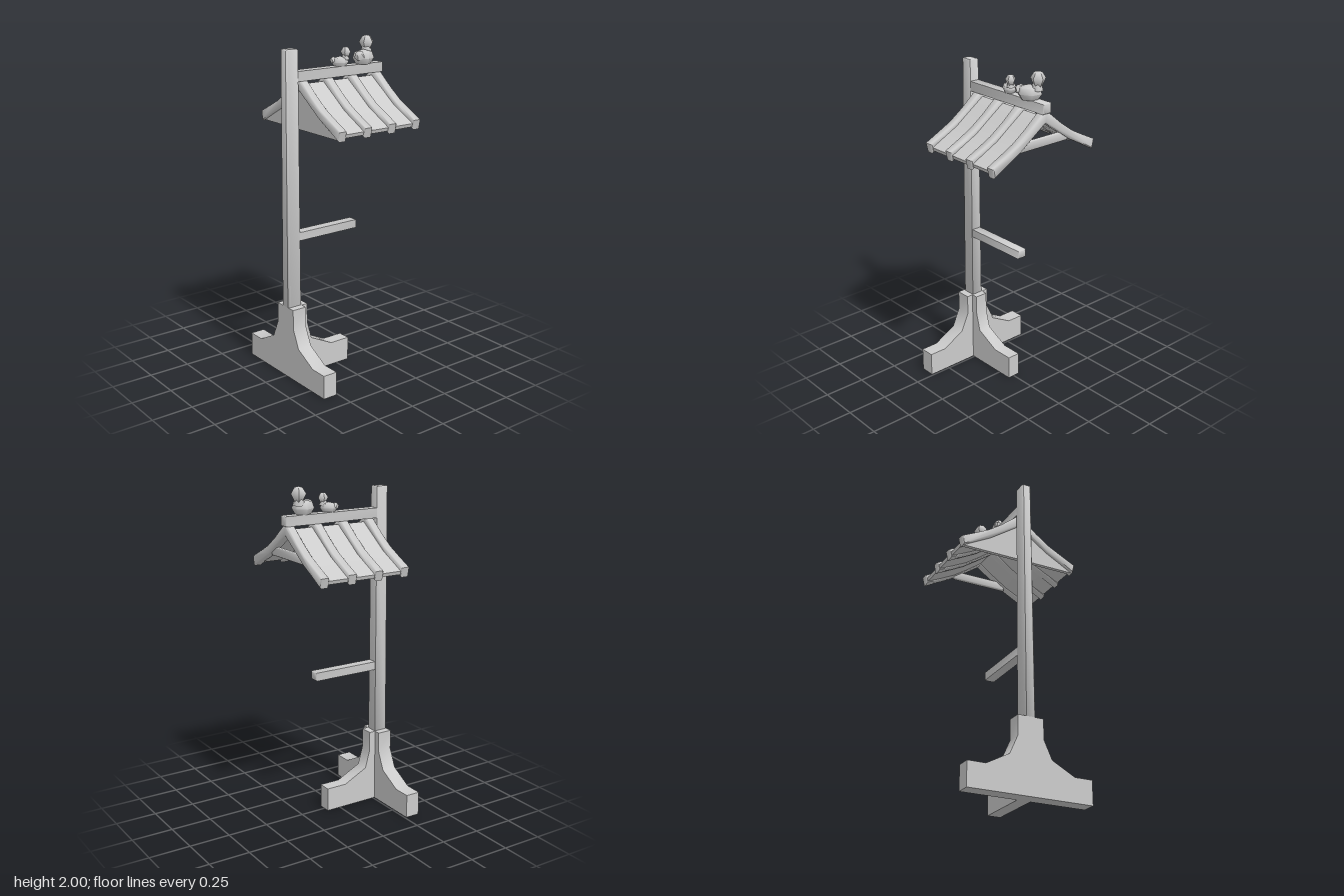
import * as THREE from 'three';
import { toCreasedNormals } from 'three/addons/utils/BufferGeometryUtils.js';

export function createModel() {
  const model = new THREE.Group();
  const mat = new THREE.MeshStandardMaterial({ color: 0xcccccc, side: THREE.DoubleSide });

  const add = (name, geo, parent = model, crease = 0.85) => {
    const mesh = new THREE.Mesh(toCreasedNormals(geo, crease), mat);
    mesh.name = name;
    parent.add(mesh);
    return mesh;
  };
  // Extrude a closed outline from z0 to z1 with an optional small bevel
  const slab = (pts, z0, z1, bevel = 0) => {
    const shape = new THREE.Shape(pts.map(([x, y]) => new THREE.Vector2(x, y)));
    return new THREE.ExtrudeGeometry(shape, {
      depth: z1 - z0 - 2 * bevel, bevelEnabled: bevel > 0, bevelSize: bevel,
      bevelThickness: bevel, bevelOffset: -bevel, bevelSegments: 1, curveSegments: 1,
    }).translate(0, 0, z0 + bevel);
  };
  const mirrored = (half) => [...half, ...half.slice().reverse().map(([x, y]) => [-x, y])];
  const box = (x0, x1, y0, y1, z0, z1) =>
    slab([[x0, y0], [x1, y0], [x1, y1], [x0, y1]], z0, z1, 0.004);

  // Base: wide front foot and one foot reaching back
  add('frontFoot', slab(mirrored([
    [0.38, 0], [0.38, 0.145], [0.27, 0.145], [0.13, 0.22], [0.08, 0.33], [0.08, 0.45],
  ]), 0.26, 0.35));
  const back = slab([
    [-0.3, 0], [0.09, 0], [0.09, 0.145], [-0.04, 0.145], [-0.19, 0.22], [-0.22, 0.33],
    [-0.22, 0.45], [-0.3, 0.45],
  ], -0.04, 0.04).rotateY(Math.PI / 2);
  add('backFoot', back);

  // Post: narrows slightly towards the top
  const post = slab(mirrored([[0.026, -0.35], [0.035, -0.338], [0.035, -0.262]]), 0, 1.56, 0.006)
    .rotateX(-Math.PI / 2).translate(0, 0.405, 0);
  const p = post.attributes.position;
  for (let i = 0; i < p.count; i++) {
    const t = (p.getY(i) - 0.405) / 1.56;
    p.setX(i, p.getX(i) * (1 - 0.15 * t));
    p.setZ(i, 0.262 + (p.getZ(i) - 0.262) * (1 - 0.12 * t));
  }
  post.computeVertexNormals();
  add('post', post);

  // Crossbars
  add('lowerArm', box(-0.03, 0.03, 0.85, 0.9, -0.16, 0.27));
  add('ridgeBeam', box(-0.03, 0.03, 1.782, 1.84, -0.352, 0.27));

  // Roof: bent sheet, four ribs, closed front gable and a tie at the open back
  const roof = new THREE.Group();
  roof.name = 'roof';
  model.add(roof);
  const chevron = (top, bottom) => [
    ...top, ...top.slice(0, -1).reverse().map(([x, y]) => [-x, y]),
    ...bottom.map(([x, y]) => [-x, y]), ...bottom.slice(0, -1).reverse(),
  ];
  add('roofSheet', slab(chevron(
    [[0.371, 1.533], [0.29, 1.575], [0.197, 1.622], [0.11, 1.685], [0, 1.762]],
    [[0.364, 1.512], [0.28, 1.553], [0.19, 1.6], [0.1, 1.662], [0, 1.735]],
  ), -0.335, 0.235), roof);
  const rib = chevron(
    [[0.383, 1.553], [0.29, 1.599], [0.205, 1.643], [0.12, 1.703], [0.02, 1.785], [0, 1.79]],
    [[0.37, 1.496], [0.28, 1.546], [0.19, 1.594], [0.1, 1.657], [0, 1.727]],
  );
  for (const z of [0.216, 0.038, -0.138, -0.318]) {
    add('rib', slab(rib, z - 0.027, z + 0.027, 0.007), roof);
  }
  add('frontGable', slab(mirrored([
    [0.365, 1.5], [0.28, 1.55], [0.19, 1.6], [0.1, 1.67], [0, 1.74],
  ]), 0.205, 0.227), roof);
  add('backTie', box(-0.18, 0.18, 1.59, 1.643, -0.33, -0.307), roof);

  // Birds: low-poly body, raised tail, neck and faceted head
  const bird = (x, z, turn, s) => {
    const g = new THREE.Group();
    g.name = 'bird';
    const lathe = (name, pts, sides) =>
      add(name, new THREE.LatheGeometry(pts.map(([r, y]) => new THREE.Vector2(r, y)), sides), g, 1.1);
    const body = lathe('body', [[0, 0], [0.042, 0], [0.062, 0.035], [0.05, 0.07], [0, 0.085]], 6);
    body.scale.z = 1.2;
    const tail = lathe('tail', [[0, -0.02], [0.034, 0], [0.022, 0.03], [0, 0.035]], 5);
    tail.position.set(0, 0.045, 0.05);
    tail.rotation.x = 0.6;
    const neck = lathe('neck', [[0.036, 0], [0.024, 0.05]], 6);
    neck.position.set(0, 0.055, -0.045);
    const head = lathe('head', [[0, -0.045], [0.022, -0.04], [0.046, 0.008], [0.024, 0.043], [0, 0.048]], 5);
    head.position.set(0, 0.115, -0.05);
    g.position.set(x, 1.838, z);
    g.rotation.y = turn;
    g.scale.setScalar(s);
    model.add(g);
  };
  bird(0.01, -0.218, 0.5, 0.99);
  bird(0.005, -0.05, -0.55, 0.68);

  return model;
}
